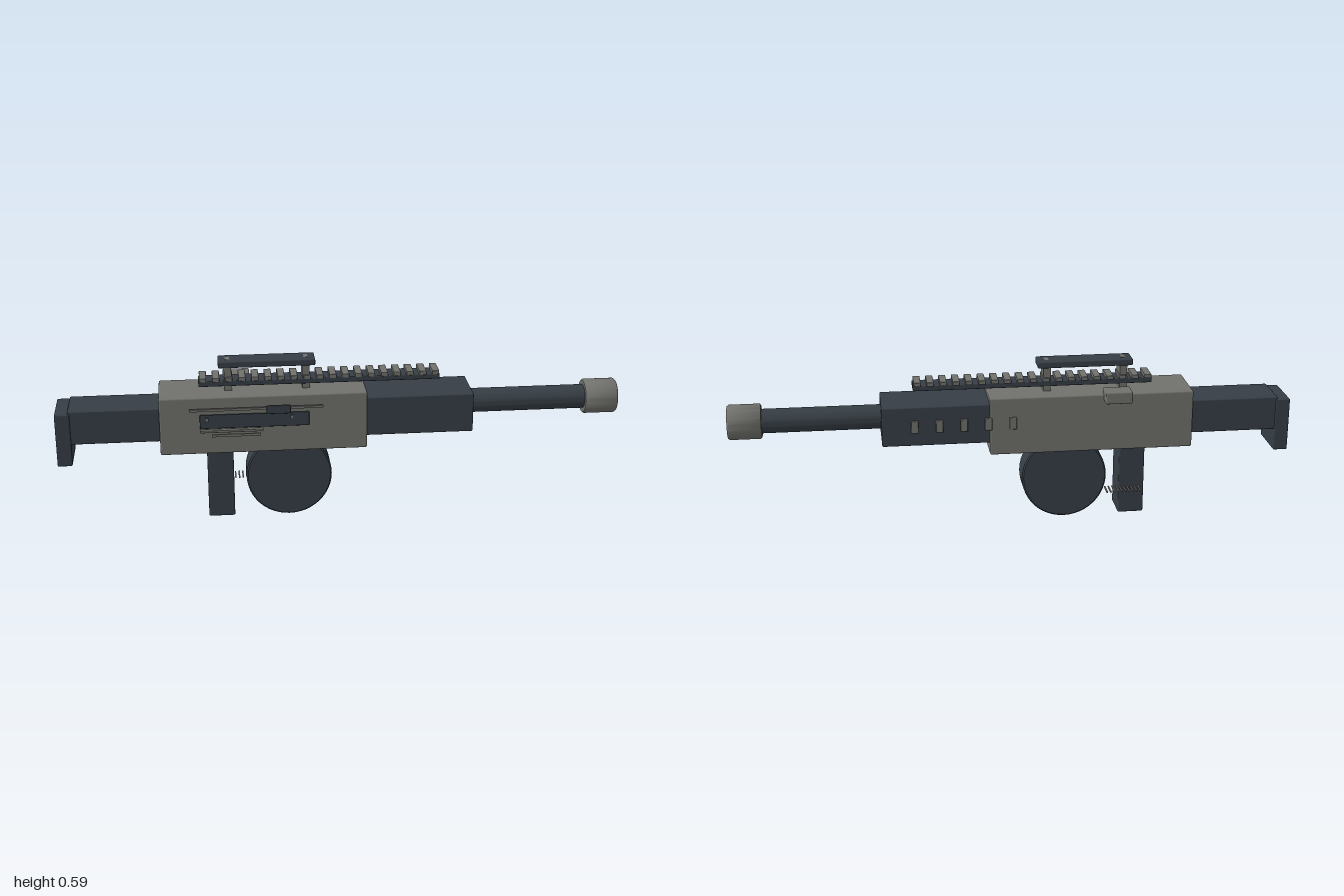
import * as THREE from 'three';
import { RoundedBoxGeometry } from 'three/addons/geometries/RoundedBoxGeometry.js';
import { toCreasedNormals } from 'three/addons/utils/BufferGeometryUtils.js';

export function createModel() {
  const model = new THREE.Group();
  model.name = 'rifle';
  const grey = new THREE.MeshStandardMaterial({ color: 0x71716d });
  grey.name = 'grey metal';
  const dark = new THREE.MeshStandardMaterial({ color: 0x363e45 });
  dark.name = 'dark polymer';

  // Box from its extents on each axis, with optional rounded edges
  function box(name, material, [x0, x1], [y0, y1], [z0, z1], round = 0) {
    const size = [x1 - x0, y1 - y0, z1 - z0];
    const geometry = round
      ? new RoundedBoxGeometry(...size, 2, round)
      : new THREE.BoxGeometry(...size);
    const mesh = new THREE.Mesh(geometry, material);
    mesh.position.set((x0 + x1) / 2, (y0 + y1) / 2, (z0 + z1) / 2);
    mesh.name = name;
    model.add(mesh);
    return mesh;
  }

  // Turned part: profile of [radius, height] points
  function turned(name, material, profile) {
    const points = profile.map(([r, h]) => new THREE.Vector2(r, h));
    const mesh = new THREE.Mesh(toCreasedNormals(new THREE.LatheGeometry(points, 48), 0.7), material);
    mesh.name = name;
    model.add(mesh);
    return mesh;
  }

  // Main body
  box('receiver', grey, [-0.64, 0.087], [0.27, 0.48], [-0.093, 0.101], 0.006);
  box('handguard', dark, [0.08, 0.466], [0.315, 0.458], [-0.088, 0.097], 0.005);
  box('stock', dark, [-0.955, -0.63], [0.315, 0.438], [-0.074, 0.081], 0.005);
  box('buttPlate', dark, [-1, -0.948], [0.236, 0.43], [-0.078, 0.086], 0.005);
  box('grip', dark, [-0.478, -0.385], [0.008, 0.28], [-0.053, 0.061], 0.005);

  // Barrel and muzzle, turned around the x axis
  const barrel = turned('barrel', dark, [[0, 0.45], [0.043, 0.45], [0.043, 0.9], [0, 0.9]]);
  const muzzle = turned('muzzle', grey, [
    [0, 0.882], [0.058, 0.882], [0.062, 0.887], [0.062, 0.994], [0.057, 1], [0, 1],
  ]);
  for (const part of [barrel, muzzle]) {
    part.rotation.z = -Math.PI / 2;
    part.position.set(0, 0.398, 0.004);
  }

  // Drum magazine, turned around the z axis
  const drum = turned('drumMagazine', dark, [
    [0, -0.048], [0.148, -0.048], [0.153, -0.043], [0.153, 0.043], [0.148, 0.048], [0, 0.048],
  ]);
  drum.rotation.x = Math.PI / 2;
  drum.position.set(-0.187, 0.154, 0.004);

  // Thin pins beside the grip
  for (let i = 0; i < 10; i++) {
    const x = -0.46 + i * 0.0135;
    box('gripPin', grey, [x, x + 0.005], [0.107, 0.111], [-0.101, -0.045]);
  }

  // Top rail with its feet and teeth
  box('rail', dark, [-0.5, 0.352], [0.497, 0.517], [-0.031, 0.04], 0.004);
  for (let i = 0; i < 19; i++) {
    const x = -0.497 + i * 0.0456;
    box('railTooth', grey, [x, x + 0.025], [0.515, 0.53], [-0.037, 0.044], 0.002);
  }

  // Raised sight bar on two posts
  box('sightBar', dark, [-0.43, -0.09], [0.564, 0.588], [-0.034, 0.042], 0.005);
  for (const x of [-0.397, -0.123]) {
    box('sightPost', grey, [x - 0.013, x + 0.013], [0.475, 0.57], [-0.03, 0.037]);
    box('sightScrew', grey, [x - 0.008, x + 0.008], [0.585, 0.589], [-0.01, 0.018]);
  }

  // Handle on the right side
  box('chargingHandle', grey, [-0.412, -0.317], [0.457, 0.5], [-0.137, -0.07], 0.005);

  // Vents along the right side
  for (let i = 0; i < 5; i++) {
    const x = 0.005 + i * 0.0865;
    box('sideVent', grey, [x - 0.013, x + 0.013], [0.364, 0.409], [-0.097, -0.08], 0.003);
  }

  // Panel, rods and catch on the left side
  box('sidePanel', dark, [-0.5, -0.118], [0.37, 0.421], [0.109, 0.116], 0.003);
  box('longRod', grey, [-0.535, -0.07], [0.437, 0.445], [0.115, 0.123]);
  box('catch', dark, [-0.268, -0.184], [0.424, 0.454], [0.123, 0.134], 0.003);
  box('middleRod', grey, [-0.5, -0.28], [0.363, 0.372], [0.122, 0.138], 0.002);
  box('lowerRod', grey, [-0.46, -0.29], [0.345, 0.354], [0.127, 0.133]);
  for (const x of [-0.475, -0.18]) {
    box('panelStud', grey, [x - 0.006, x + 0.006], [0.402, 0.416], [0.127, 0.132]);
  }

  return model;
}
